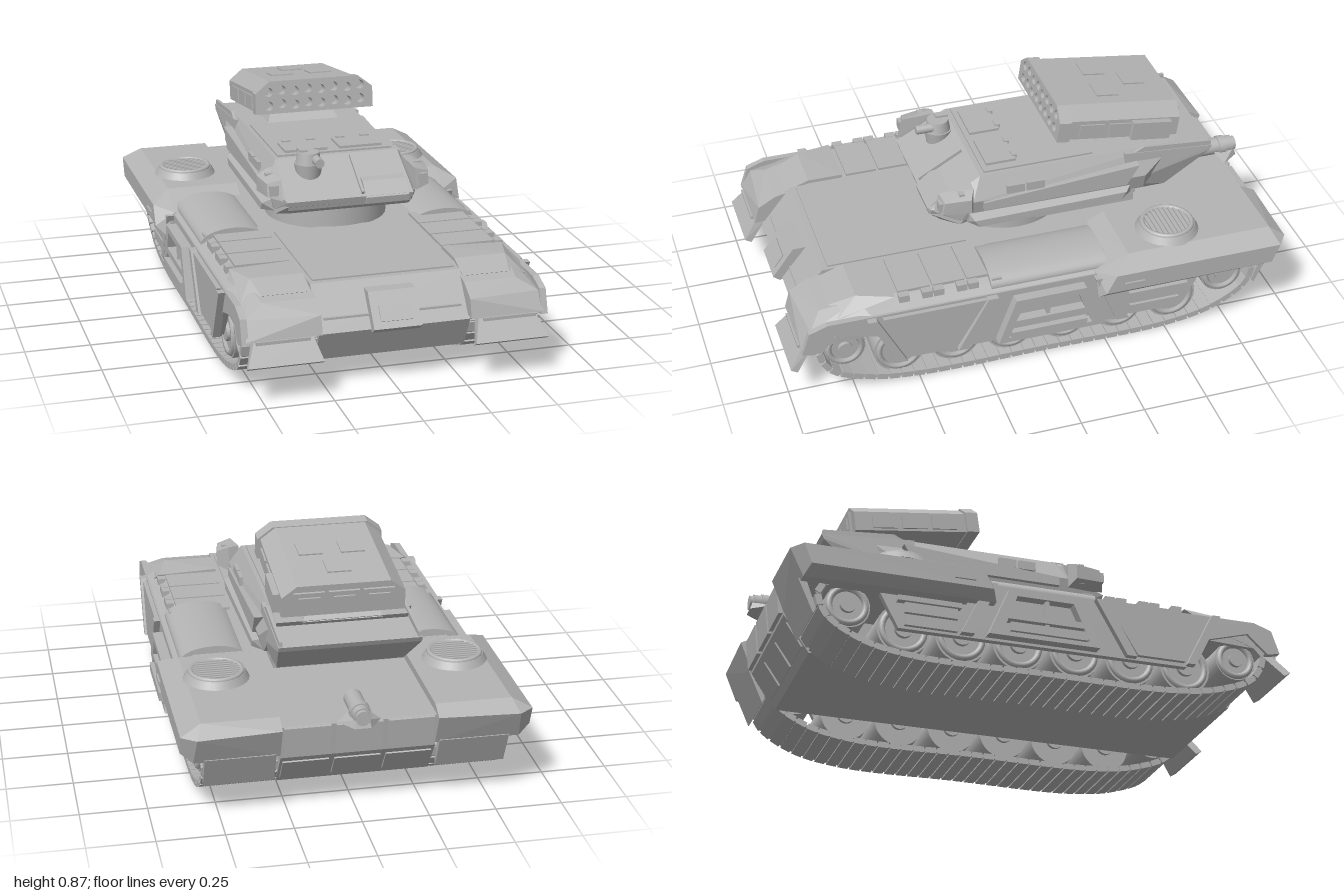
import * as THREE from 'three';
import { ConvexGeometry } from 'three/addons/geometries/ConvexGeometry.js';

const armour = new THREE.MeshStandardMaterial({ color: 0xb4b4b4 });
armour.name = 'armourGrey';

export function createModel() {
  const model = new THREE.Group();
  model.name = 'rocketTank';

  const add = (name, geo, parent = model) => {
    const m = new THREE.Mesh(geo, armour);
    m.name = name;
    parent.add(m);
    return m;
  };
  const box = (name, w, h, d, x, y, z, rx = 0, parent = model) => {
    const m = add(name, new THREE.BoxGeometry(w, h, d), parent);
    m.position.set(x, y, z);
    m.rotation.x = rx;
    return m;
  };
  // side profile of [z, y] points, swept from x0 to x1
  const prism = (name, pts, x0, x1, holes = []) => {
    const shape = new THREE.Shape(pts.map(p => new THREE.Vector2(...p)));
    for (const h of holes) shape.holes.push(new THREE.Path(h.map(p => new THREE.Vector2(...p))));
    const lo = Math.min(x0, x1), hi = Math.max(x0, x1);
    const g = new THREE.ExtrudeGeometry(shape, { depth: hi - lo, bevelEnabled: false });
    return add(name, g.rotateY(-Math.PI / 2).translate(hi, 0, 0));
  };
  // faceted solid around [x, y, z] corners; s flips it to the other side
  const solid = (name, pts, s = 1) =>
    add(name, new ConvexGeometry(pts.map(p => new THREE.Vector3(p[0] * s, p[1], p[2]))));
  const both = pts => pts.flatMap(p => [p, [-p[0], p[1], p[2]]]);
  const cyl = (name, r0, r1, h, x, y, z, axis = 'y', seg = 32, parent = model) => {
    const g = new THREE.CylinderGeometry(r0, r1, h, seg);
    if (axis === 'x') g.rotateZ(Math.PI / 2);
    if (axis === 'z') g.rotateX(Math.PI / 2);
    const m = add(name, g, parent);
    m.position.set(x, y, z);
    return m;
  };

  // central hull
  prism('hull', [[0.8, 0.37], [0.92, 0.22], [0.86, 0.1], [-0.82, 0.1], [-0.92, 0.24], [-0.94, 0.37]], -0.285, 0.285);
  box('deckPlate', 0.54, 0.012, 0.55, 0, 0.37, 0.5);
  box('noseSeam', 0.52, 0.008, 0.012, 0, 0.265, 0.885);
  prism('towFrame', [[0.82, 0.345], [0.87, 0.345], [0.955, 0.23], [0.93, 0.21], [0.88, 0.22]], -0.09, 0.09);
  box('towPlate', 0.12, 0.06, 0.012, 0, 0.275, 0.92, -0.62);
  for (const x of [-0.19, 0, 0.19]) {
    box('rearPanel', 0.17, 0.12, 0.02, x, 0.31, -0.935, -0.12);
    box('rearLowerPanel', 0.17, 0.11, 0.02, x, 0.175, -0.87, -0.6);
  }

  // rear exhaust on its wedge bracket
  solid('exhaustBracket', [[-0.08, 0.37, -0.93], [0.08, 0.37, -0.93], [-0.03, 0.37, -1],
    [0.03, 0.37, -1], [-0.025, 0.4, -0.99], [0.025, 0.4, -0.99], [-0.03, 0.4, -0.9], [0.03, 0.4, -0.9]]);
  cyl('exhaustPipe', 0.034, 0.034, 0.17, 0, 0.408, -0.9, 'z', 20);
  cyl('exhaustMuzzle', 0.028, 0.028, 0.03, 0, 0.408, -0.985, 'z', 20);
  cyl('exhaustCollar', 0.039, 0.039, 0.03, 0, 0.408, -0.94, 'z', 20);

  // closed loop the track links follow
  const loop = new THREE.CatmullRomCurve3([[0.5, 0.014], [0, 0.012], [-0.5, 0.014], [-0.7, 0.055], [-0.83, 0.14],
    [-0.85, 0.23], [-0.74, 0.295], [-0.3, 0.27], [0.3, 0.27], [0.76, 0.275], [0.88, 0.21], [0.84, 0.11], [0.7, 0.045]]
    .map(p => new THREE.Vector3(0, p[1], p[0])), true, 'centripetal');
  const links = 76;

  for (const s of [1, -1]) {
    // track
    const track = new THREE.Group();
    track.name = s > 0 ? 'leftTrack' : 'rightTrack';
    model.add(track);
    for (let i = 0; i < links; i++) {
      const p = loop.getPointAt(i / links), t = loop.getTangentAt(i / links);
      const a = Math.atan2(-t.y, t.z);
      box('trackLink', 0.28, 0.024, 0.041, s * 0.424, p.y, p.z, a, track);
      box('trackPin', 0.27, 0.012, 0.05, s * 0.424, p.y, p.z, a, track);
    }

    // wheels
    const wheel = (name, r, z, y) => {
      cyl(name, r, r, 0.22, s * 0.424, y, z, 'x', 28);
      const rim = add('wheelRim', new THREE.TorusGeometry(r * 0.8, 0.012, 6, 28).rotateY(Math.PI / 2));
      rim.position.set(s * 0.534, y, z);
      cyl('wheelHub', r * 0.35, r * 0.35, 0.25, s * 0.424, y, z, 'x', 16);
    };
    for (let i = 0; i < 6; i++) wheel('roadWheel', 0.1, 0.57 - i * 0.22, 0.125);
    wheel('idlerWheel', 0.08, 0.78, 0.185);
    wheel('driveSprocket', 0.085, -0.74, 0.19);

    // front fender with chamfered outer edge and sloping nose
    solid('frontFender', [[0.28, 0.37, 0.72], [0.5, 0.37, 0.72], [0.565, 0.335, 0.68], [0.28, 0.37, -0.3],
      [0.5, 0.37, -0.3], [0.57, 0.335, -0.3], [0.28, 0.34, 0.86], [0.48, 0.34, 0.86], [0.55, 0.3, 0.91],
      [0.28, 0.3, 0.93], [0.28, 0.23, 0.95], [0.56, 0.23, 0.95], [0.28, 0.28, -0.3], [0.57, 0.28, -0.3]], s);
    solid('fenderCap', [[0.29, 0.384, 0.72], [0.49, 0.384, 0.72], [0.29, 0.384, 0.58], [0.53, 0.375, 0.58],
      [0.55, 0.34, 0.62], [0.54, 0.33, 0.8], [0.29, 0.35, 0.82], [0.47, 0.35, 0.82], [0.29, 0.35, 0.58]], s);
    // mudflap
    solid('mudflap', [[0.31, 0.225, 0.94], [0.53, 0.225, 0.94], [0.285, 0.15, 0.995], [0.565, 0.15, 0.995],
      [0.285, 0.135, 0.97], [0.565, 0.135, 0.97], [0.31, 0.22, 0.9], [0.53, 0.22, 0.9]], s);
    box('mudflapRib', 0.2, 0.012, 0.015, s * 0.425, 0.225, 0.95);

    // fender top panels and clips
    for (let i = 0; i < 3; i++) {
      const z = 0.5 - i * 0.135;
      box('fenderPanel', 0.21, 0.014, 0.125, s * 0.4, 0.372, z);
      box('fenderClip', 0.03, 0.03, 0.04, s * 0.525, 0.362, z + 0.045);
      box('fenderClip', 0.03, 0.03, 0.04, s * 0.525, 0.362, z - 0.045);
    }
    // rounded cover leading up to the rear pod
    const cover = cyl('roundedCover', 0.12, 0.12, 0.46, s * 0.425, 0.345, -0.02, 'z', 32);
    cover.scale.set(1.08, 0.45, 1);

    // side skirt and its raised panels
    prism('skirt', [[0.95, 0.22], [0.92, 0.31], [0.85, 0.335], [-0.3, 0.335], [-0.3, 0.24], [-0.63, 0.24],
      [-0.56, 0.11], [0.56, 0.11], [0.66, 0.24], [0.82, 0.285], [0.9, 0.21]], s * 0.55, s * 0.575);
    prism('frontSkirtPanel', [[0.64, 0.325], [0.24, 0.325], [0.36, 0.125], [0.55, 0.125]], s * 0.57, s * 0.592);
    prism('frontSkirtStrut', [[0.7, 0.33], [0.665, 0.33], [0.555, 0.115], [0.59, 0.115]], s * 0.57, s * 0.6);
    prism('midSkirtStrut', [[0.235, 0.33], [0.195, 0.33], [0.315, 0.115], [0.355, 0.115]], s * 0.57, s * 0.6);
    prism('hatchFrame', [[0.13, 0.31], [-0.15, 0.31], [-0.23, 0.12], [0.2, 0.12]], s * 0.57, s * 0.615,
      [[[0.1, 0.285], [-0.12, 0.285], [-0.145, 0.215], [0.13, 0.215]], [[0.14, 0.19], [-0.155, 0.19], [-0.175, 0.14], [0.16, 0.14]]]);
    box('hatchStep', 0.025, 0.035, 0.3, s * 0.615, 0.155, 0);
    box('hatchPost', 0.03, 0.17, 0.014, s * 0.59, 0.215, 0);
    prism('rearSkirtStrut', [[-0.19, 0.33], [-0.23, 0.33], [-0.33, 0.115], [-0.28, 0.115]], s * 0.57, s * 0.605);
    for (const y of [0.14, 0.19])
      box('rearSkirtPanel', 0.02, 0.04, 0.2, s * 0.58, y, -0.44);
    box('rearSkirtRail', 0.035, 0.02, 0.24, s * 0.585, 0.22, -0.45);

    // bulky rear pod
    solid('rearPod', [[0.285, 0.4, -0.33], [0.57, 0.4, -0.33], [0.285, 0.4, -0.91], [0.57, 0.4, -0.91],
      [0.645, 0.36, -0.26], [0.645, 0.36, -0.93], [0.59, 0.36, -0.97], [0.285, 0.37, -0.97],
      [0.645, 0.285, -0.22], [0.645, 0.285, -0.9], [0.285, 0.36, -0.24], [0.57, 0.34, -0.2],
      [0.285, 0.25, -0.2], [0.61, 0.25, -0.2], [0.285, 0.25, -0.92], [0.6, 0.25, -0.92]], s);
    box('podIntake', 0.012, 0.015, 0.08, s * 0.646, 0.315, -0.33);
    prism('rearMudguard', [[-0.93, 0.26], [-0.9, 0.26], [-0.86, 0.15], [-0.87, 0.13]], s * 0.3, s * 0.56);

    // round vent with slats
    const vx = s * 0.455, vz = -0.53;
    cyl('ventBase', 0.108, 0.125, 0.03, vx, 0.412, vz);
    const ring = add('ventRing', new THREE.TorusGeometry(0.096, 0.01, 8, 36).rotateX(Math.PI / 2));
    ring.position.set(vx, 0.427, vz);
    for (let i = -4; i <= 4; i++)
      box('ventSlat', 2 * Math.sqrt(0.0081 - (i * 0.018) ** 2) + 0.005, 0.008, 0.009, vx, 0.43, vz + i * 0.018);
  }

  // turret ring and slatted neck
  cyl('turretRing', 0.24, 0.24, 0.11, 0, 0.425, 0, 'y', 48);
  box('turretNeck', 0.46, 0.09, 0.45, 0, 0.435, -0.25);
  for (const s of [1, -1]) for (let i = 0; i < 9; i++)
    box('neckSlat', 0.025, 0.055, 0.03, s * 0.235, 0.465, -0.1 - i * 0.045);

  // turret body
  solid('turretBody', both([[0.245, 0.645, 0.16], [0.245, 0.645, -0.64], [0.29, 0.56, 0.2], [0.29, 0.54, -0.5],
    [0.25, 0.53, 0.36], [0.24, 0.495, 0.35], [0.27, 0.47, 0.24], [0.27, 0.475, -0.5]]));
  solid('turretBustle', both([[0.265, 0.64, -0.42], [0.265, 0.61, -0.785], [0.265, 0.59, -0.775],
    [0.24, 0.45, -0.6], [0.24, 0.45, -0.47], [0.27, 0.5, -0.42]]));
  solid('chinPlate', both([[0.25, 0.51, 0.355], [0.27, 0.455, 0.25], [0.24, 0.475, 0.32], [0.27, 0.5, 0.2], [0.25, 0.455, 0.18]]));
  box('roofPlate', 0.46, 0.012, 0.44, 0, 0.646, -0.08);
  for (const s of [1, -1]) {
    // cheek armour, sensor pods and side boxes
    solid('cheekArmour', [[0.26, 0.51, 0.22], [0.31, 0.485, 0.2], [0.31, 0.455, 0.18], [0.26, 0.455, 0.22],
      [0.26, 0.51, -0.46], [0.3, 0.485, -0.42], [0.3, 0.455, -0.4], [0.26, 0.455, -0.45]], s);
    solid('sensorPod', [[0.25, 0.63, 0.2], [0.29, 0.625, 0.2], [0.335, 0.605, 0.22], [0.335, 0.545, 0.22],
      [0.29, 0.525, 0.2], [0.25, 0.525, 0.2], [0.265, 0.615, 0.33], [0.32, 0.6, 0.32], [0.32, 0.55, 0.33], [0.265, 0.535, 0.35]], s);
    box('sensorLens', 0.035, 0.04, 0.015, s * 0.295, 0.575, 0.333);
    box('sensorBracket', 0.05, 0.085, 0.02, s * 0.285, 0.578, 0.25);
    for (const z of [0.03, -0.05]) box('sidePanel', 0.014, 0.035, 0.07, s * 0.285, 0.59, z);
    prism('sideFairing', [[0.16, 0.555], [-0.47, 0.6], [-0.42, 0.52], [0.16, 0.52]], s * 0.26, s * 0.3);
    // roof hatches
    box('roofHatch', 0.17, 0.016, 0.12, s * 0.11, 0.654, 0.06);
    for (const dx of [-0.05, 0.05]) box('hatchHinge', 0.035, 0.022, 0.02, s * 0.11 + dx, 0.656, 0.0);
    solid('bustleFin', [[0.25, 0.655, -0.5], [0.262, 0.655, -0.5], [0.25, 0.63, -0.78], [0.262, 0.63, -0.78],
      [0.25, 0.6, -0.78], [0.262, 0.6, -0.78], [0.25, 0.63, -0.45], [0.262, 0.63, -0.45]], s);
  }
  // stepped sight housing on the front
  solid('sightHousing', [[0.06, 0.585, 0.24], [0.24, 0.585, 0.24], [0.06, 0.575, 0.31], [0.23, 0.575, 0.31],
    [0.06, 0.525, 0.365], [0.23, 0.525, 0.365], [0.06, 0.5, 0.36], [0.23, 0.5, 0.36], [0.06, 0.5, 0.24], [0.24, 0.5, 0.24]]);
  box('frontPlateSeam', 0.01, 0.012, 0.2, 0.05, 0.592, 0.265, 0.52);

  // gun cupola
  cyl('cupolaBase', 0.055, 0.045, 0.07, -0.13, 0.605, 0.22, 'y', 24);
  cyl('cupola', 0.042, 0.05, 0.045, -0.13, 0.66, 0.22, 'y', 24);
  cyl('cupolaGun', 0.018, 0.018, 0.1, -0.11, 0.66, 0.265, 'z', 16);
  box('cupolaSight', 0.03, 0.02, 0.05, -0.15, 0.68, 0.2);

  // rocket launcher, tilted nose up
  solid('launcherPedestal', both([[0.15, 0.64, -0.32], [0.15, 0.64, -0.64], [0.12, 0.7, -0.38], [0.12, 0.7, -0.6]]));
  const launcher = new THREE.Group();
  launcher.name = 'rocketLauncher';
  launcher.position.set(0, 0.763, -0.405);
  launcher.rotation.x = -0.14;
  model.add(launcher);
  const outline = k => new THREE.Shape([[-0.235, -0.063], [0.235, -0.063], [0.235, 0.018], [0.178, 0.063], [-0.178, 0.063], [-0.235, 0.018]]
    .map(p => new THREE.Vector2(p[0] * k, p[1] * k)));
  const shell = (name, shape, z, depth) =>
    add(name, new THREE.ExtrudeGeometry(shape, { depth, bevelEnabled: false, curveSegments: 12 }).translate(0, 0, z), launcher);
  const face = outline(1.03);
  for (let r = 0; r < 2; r++) for (let i = 0; i < 8; i++) {
    const hole = new THREE.Path();
    hole.absarc(-0.189 + i * 0.054, (r ? 0.025 : -0.03) + (i % 2 ? 0.003 : -0.003), 0.0185, 0, Math.PI * 2, true);
    face.holes.push(hole);
  }
  shell('tubeBlock', face, 0.2, 0.05);
  shell('launcherBody', outline(0.98), -0.25, 0.451);
  for (const x of [-0.13, 0, 0.13]) {
    box('rearHatch', 0.115, 0.09, 0.014, x, -0.008, -0.253, 0, launcher);
    box('rearHatchPlate', 0.08, 0.055, 0.01, x, -0.008, -0.262, 0, launcher);
  }
  for (const [x, z] of [[0, -0.12], [-0.08, 0.02], [0.08, 0.02]])
    box('topPanel', 0.09, 0.01, 0.09, x, 0.062, z, 0, launcher);
  for (const s of [1, -1]) for (const z of [-0.13, -0.01, 0.11])
    box('launcherSidePanel', 0.012, 0.055, 0.1, s * 0.231, -0.025, z, 0, launcher);
  box('launcherSideBox', 0.03, 0.075, 0.16, 0.24, -0.025, -0.13, 0, launcher);

  return model;
}
